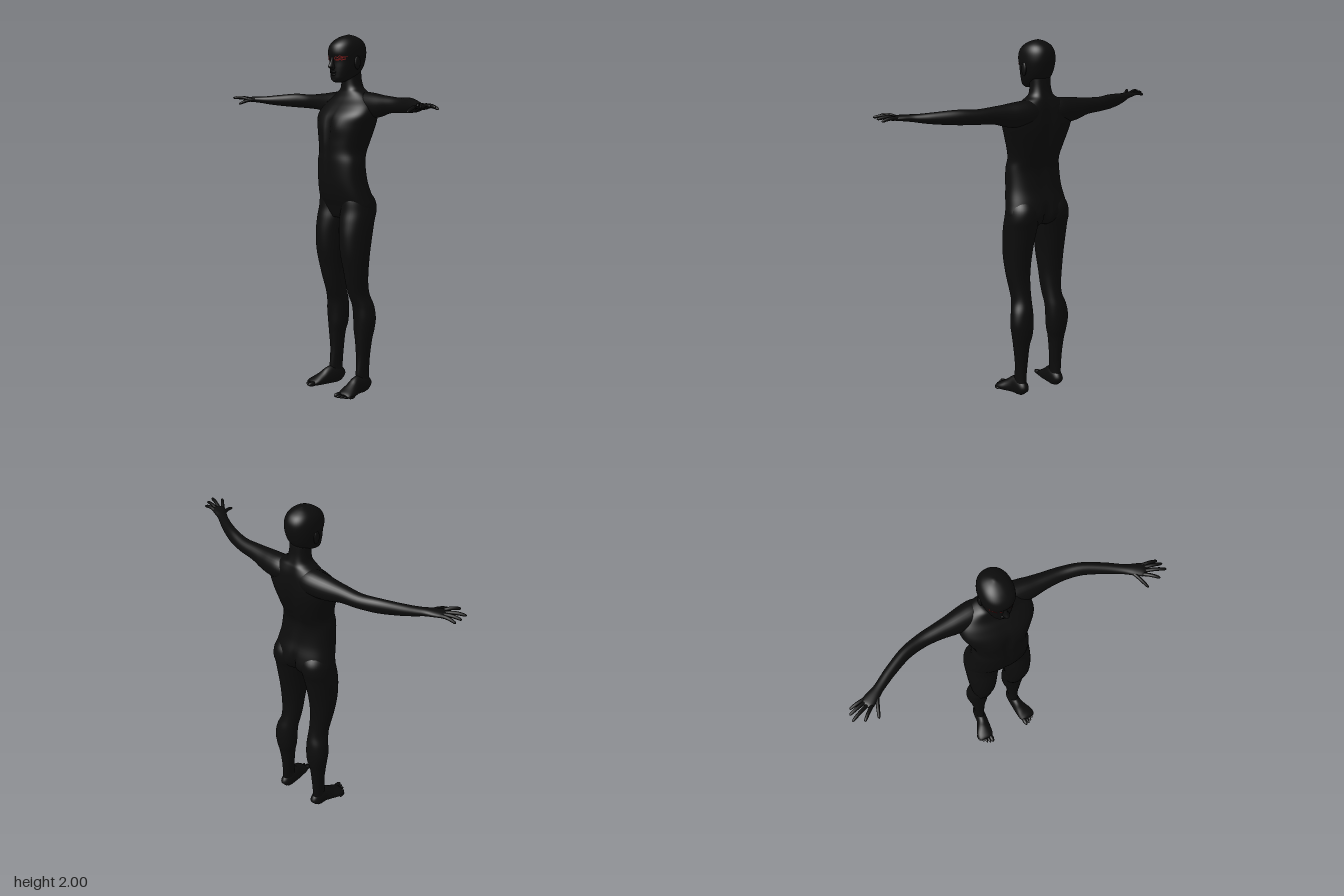
import * as THREE from 'three';

const skinMat = new THREE.MeshStandardMaterial({ color: 0x0c0c0c });
skinMat.name = 'black skin';
const redMat = new THREE.MeshStandardMaterial({ color: 0x8c1c1c, side: THREE.DoubleSide });
redMat.name = 'red eye lines';

// Catmull-Rom through table rows, column by column
function smooth(rows, steps) {
  const out = [];
  const last = rows.length - 1;
  for (let i = 0; i <= last * steps; i++) {
    const k = Math.min(Math.floor(i / steps), last - 1);
    const t = i / steps - k;
    const [a, b, c, d] = [k - 1, k, k + 1, k + 2].map(j => rows[Math.max(0, Math.min(last, j))]);
    out.push(b.map((_, j) => 0.5 * (2 * b[j] + (c[j] - a[j]) * t
      + (2 * a[j] - 5 * b[j] + 4 * c[j] - d[j]) * t * t
      + (3 * b[j] - a[j] - 3 * c[j] + d[j]) * t * t * t)));
  }
  return out;
}

// Closed surface over a stack of equal rings, capped at both ends
function skin(rings) {
  const n = rings[0].length, m = rings.length, pts = rings.flat(), idx = [];
  const centre = r => r.reduce((s, p) => s.add(p), new THREE.Vector3()).divideScalar(n);
  pts.push(centre(rings[0]), centre(rings[m - 1]));
  for (let i = 0; i < m - 1; i++) {
    for (let j = 0; j < n; j++) {
      const k = (j + 1) % n, p = i * n + j, q = i * n + k;
      idx.push(p, p + n, q, q, p + n, q + n);
    }
  }
  for (let j = 0; j < n; j++) {
    const k = (j + 1) % n, top = (m - 1) * n;
    idx.push(m * n, j, k, m * n + 1, top + k, top + j);
  }
  const geo = new THREE.BufferGeometry().setFromPoints(pts);
  geo.setIndex(idx);
  geo.computeVertexNormals();
  return geo;
}

const spow = (v, e) => Math.sign(v) * Math.pow(Math.abs(v), e);

// Upright form, rows: [y, centre x, half width, front z, back z]
function upright(rows, { n = 40, steps = 5, power = 2.2, shape } = {}) {
  return skin(smooth(rows, steps).map(([y, cx, w, f, b]) =>
    Array.from({ length: n }, (_, j) => {
      const a = j / n * Math.PI * 2;
      const p = new THREE.Vector3(cx + w * spow(Math.cos(a), 2 / power), y,
        (f + b) / 2 + (f - b) / 2 * spow(Math.sin(a), 2 / power));
      if (shape) shape(p, Math.sin(a));
      return p;
    })));
}

// Form along a path, rows: [x, y, z, half height, half width]
function limb(rows, { n = 20, steps = 4, floor = -1 } = {}) {
  const s = smooth(rows, steps), up = new THREE.Vector3(0, 1, 0);
  const at = i => new THREE.Vector3(...s[Math.max(0, Math.min(s.length - 1, i))].slice(0, 3));
  return skin(s.map((r, i) => {
    const t = at(i + 1).sub(at(i - 1)).normalize();
    const side = up.clone().cross(t).normalize(), rise = t.clone().cross(side);
    return Array.from({ length: n }, (_, j) => {
      const a = j / n * Math.PI * 2;
      const p = at(i).addScaledVector(rise, r[3] * Math.cos(a)).addScaledVector(side, r[4] * Math.sin(a));
      p.y = Math.max(p.y, floor);
      return p;
    });
  }));
}

function ellipsoid(x, y, z, rx, ry, rz) {
  return new THREE.SphereGeometry(1, 20, 14).scale(rx, ry, rz).translate(x, y, z);
}

function mirrored(geo) {
  const g = geo.clone().scale(-1, 1, 1), ix = g.index.array;
  for (let i = 0; i < ix.length; i += 3) [ix[i], ix[i + 1]] = [ix[i + 1], ix[i]];
  return g;
}

const bump = (d, r) => Math.exp(-(d * d) / (r * r));

// Chest, belly, spine and seat relief
function torsoRelief(p, s) {
  const x = Math.abs(p.x);
  if (s > 0) {
    p.z -= s * 0.012 * bump(p.x, 0.014) * bump(p.y - 1.47, 0.09);
    p.z += s * 0.010 * bump(x - 0.08, 0.05) * bump(p.y - 1.5, 0.05);
    p.z -= s * 0.006 * bump(p.x, 0.010) * bump(p.y - 1.27, 0.12);
  } else {
    p.z -= s * 0.018 * bump(p.x, 0.03) * bump(p.y - 1.47, 0.2);
    p.z -= s * 0.035 * bump(p.x, 0.016) * bump(p.y - 1.03, 0.07);
  }
}

// Jagged ribbon lying on the face
function faceLine(points, half) {
  const pos = [], idx = [];
  points.forEach(([x, y], i) => {
    for (const s of [half, -half]) {
      const yy = y + s, f = 0.045 + 0.25 * (yy - 1.86);
      const k = Math.pow(1 - Math.pow(x / 0.087, 2.2), 1 / 2.2);
      pos.push(x, yy, (f - 0.163) / 2 + (f + 0.163) / 2 * k + 0.003);
    }
    if (i) idx.push(2 * i - 2, 2 * i - 1, 2 * i, 2 * i, 2 * i - 1, 2 * i + 1);
  });
  const geo = new THREE.BufferGeometry();
  geo.setAttribute('position', new THREE.Float32BufferAttribute(pos, 3));
  geo.setIndex(idx);
  geo.computeVertexNormals();
  return geo;
}

export function createModel() {
  const model = new THREE.Group();
  model.name = 'humanFigure';
  const add = (name, geo, mat = skinMat) => {
    const mesh = new THREE.Mesh(geo, mat);
    mesh.name = name;
    model.add(mesh);
  };
  const pair = (name, geo, mat) => {
    add(name + 'Left', geo, mat);
    add(name + 'Right', mirrored(geo), mat);
  };

  // Torso and neck
  add('torso', upright([
    [0.995, 0, 0.11, 0.02, -0.12], [1.02, 0, 0.165, 0.03, -0.15], [1.06, 0, 0.188, 0.042, -0.165],
    [1.12, 0, 0.18, 0.065, -0.155], [1.2, 0, 0.167, 0.08, -0.13], [1.3, 0, 0.16, 0.085, -0.117],
    [1.36, 0, 0.149, 0.084, -0.135], [1.42, 0, 0.16, 0.084, -0.157], [1.5, 0, 0.187, 0.076, -0.176],
    [1.56, 0, 0.205, 0.062, -0.181], [1.61, 0, 0.195, 0.022, -0.178], [1.65, 0, 0.16, -0.015, -0.173],
    [1.685, 0, 0.11, -0.03, -0.163], [1.71, 0, 0.068, -0.034, -0.153], [1.75, 0, 0.056, -0.034, -0.142],
    [1.8, 0, 0.056, -0.03, -0.135]], { n: 64, power: 2.3, shape: torsoRelief }));

  // Head and face
  add('head', upright([
    [1.742, 0, 0.026, 0.026, -0.02], [1.757, 0, 0.048, 0.04, -0.055], [1.785, 0, 0.066, 0.043, -0.115],
    [1.82, 0, 0.078, 0.044, -0.145], [1.86, 0, 0.085, 0.045, -0.16], [1.9, 0, 0.088, 0.055, -0.167],
    [1.94, 0, 0.083, 0.046, -0.162], [1.97, 0, 0.066, 0.016, -0.142], [1.99, 0, 0.038, -0.022, -0.108],
    [2.0, 0, 0.006, -0.06, -0.075]], { n: 48 }));
  add('nose', upright([
    [1.812, 0, 0.012, 0.05, 0.02], [1.822, 0, 0.018, 0.07, 0.02], [1.83, 0, 0.015, 0.074, 0.02],
    [1.85, 0, 0.010, 0.062, 0.02], [1.885, 0, 0.008, 0.05, 0.02]], { n: 16, power: 2 }));
  add('upperLip', ellipsoid(0, 1.797, 0.04, 0.025, 0.006, 0.011));
  add('lowerLip', ellipsoid(0, 1.784, 0.039, 0.021, 0.006, 0.010));
  add('chin', ellipsoid(0, 1.758, 0.027, 0.024, 0.014, 0.014));
  pair('ear', ellipsoid(0.086, 1.848, -0.06, 0.009, 0.036, 0.02).rotateX(0));

  // Red lines around the eyes
  const lines = [
    [[0.018, 1.868], [0.03, 1.88], [0.04, 1.875], [0.052, 1.885], [0.062, 1.877], [0.077, 1.88]],
    [[0.022, 1.864], [0.034, 1.861], [0.045, 1.868], [0.056, 1.862], [0.072, 1.868]],
    [[0.03, 1.87], [0.042, 1.858], [0.05, 1.872], [0.064, 1.872]]];
  lines.forEach((l, i) => pair('eyeLine' + (i + 1), faceLine(l, 0.0024), redMat));

  // Legs
  pair('leg', upright([
    [0.05, 0.122, 0.03, -0.04, -0.115], [0.1, 0.122, 0.027, -0.03, -0.115], [0.2, 0.12, 0.034, -0.036, -0.119],
    [0.3, 0.121, 0.045, -0.031, -0.13], [0.36, 0.119, 0.058, -0.028, -0.143], [0.43, 0.121, 0.066, -0.026, -0.148],
    [0.5, 0.116, 0.062, -0.02, -0.14], [0.56, 0.106, 0.054, 0.002, -0.122], [0.62, 0.106, 0.057, 0.02, -0.11],
    [0.7, 0.11, 0.065, 0.038, -0.105], [0.8, 0.11, 0.075, 0.059, -0.113], [0.9, 0.107, 0.083, 0.064, -0.13],
    [0.98, 0.102, 0.09, 0.056, -0.146], [1.04, 0.1, 0.09, 0.044, -0.163], [1.1, 0.097, 0.083, 0.04, -0.155],
    [1.16, 0.09, 0.06, 0.03, -0.11]], { power: 2.1 }));

  // Feet and toes
  pair('foot', limb([
    [0.121, 0.028, -0.12, 0.018, 0.016], [0.121, 0.036, -0.108, 0.038, 0.029], [0.122, 0.045, -0.075, 0.055, 0.034],
    [0.125, 0.042, -0.03, 0.056, 0.035], [0.134, 0.03, 0.01, 0.042, 0.042], [0.146, 0.02, 0.05, 0.028, 0.05],
    [0.153, 0.014, 0.08, 0.018, 0.046], [0.155, 0.012, 0.092, 0.01, 0.036]], { n: 28, floor: 0.002 }));
  for (let i = 0; i < 5; i++) {
    const r = i ? 0.0105 - i * 0.0006 : 0.014;
    pair('toe' + (i + 1), ellipsoid(0.122 + i * 0.018, r, 0.1 - i * i * 0.0024, r, r, 0.03 - i * 0.002));
  }

  // Arms down to the palms
  pair('arm', limb([
    [0.05, 1.625, -0.112, 0.058, 0.056], [0.1, 1.622, -0.113, 0.068, 0.065], [0.16, 1.618, -0.109, 0.068, 0.063],
    [0.22, 1.618, -0.104, 0.062, 0.056], [0.3, 1.625, -0.1, 0.047, 0.045], [0.4, 1.625, -0.093, 0.04, 0.037],
    [0.5, 1.629, -0.068, 0.04, 0.032], [0.6, 1.628, -0.02, 0.032, 0.029], [0.66, 1.628, 0.015, 0.025, 0.027],
    [0.7, 1.63, 0.04, 0.02, 0.027], [0.74, 1.632, 0.063, 0.017, 0.034], [0.775, 1.632, 0.083, 0.014, 0.036],
    [0.79, 1.632, 0.092, 0.008, 0.029]], { n: 28 }));

  // Fingers: base x, z, tip x, z, tip y
  const fingers = {
    littleFinger: [0.775, 0.056, 0.866, 0.068, 1.622], ringFinger: [0.78, 0.072, 0.878, 0.098, 1.632],
    middleFinger: [0.777, 0.09, 0.88, 0.136, 1.638], indexFinger: [0.762, 0.104, 0.826, 0.165, 1.64],
    thumb: [0.715, 0.062, 0.758, 0.172, 1.606]
  };
  for (const [name, [x, z, tx, tz, ty]] of Object.entries(fingers)) {
    const rows = [[0, 0.010], [0.35, 0.0095], [0.65, 0.009], [0.92, 0.007], [1, 0.002]].map(([t, r]) =>
      [x + (tx - x) * t, 1.632 + (ty - 1.632) * t + 0.008 * Math.sin(t * Math.PI), z + (tz - z) * t, r, r]);
    pair(name, limb(rows, { n: 12 }));
  }
  return model;
}
